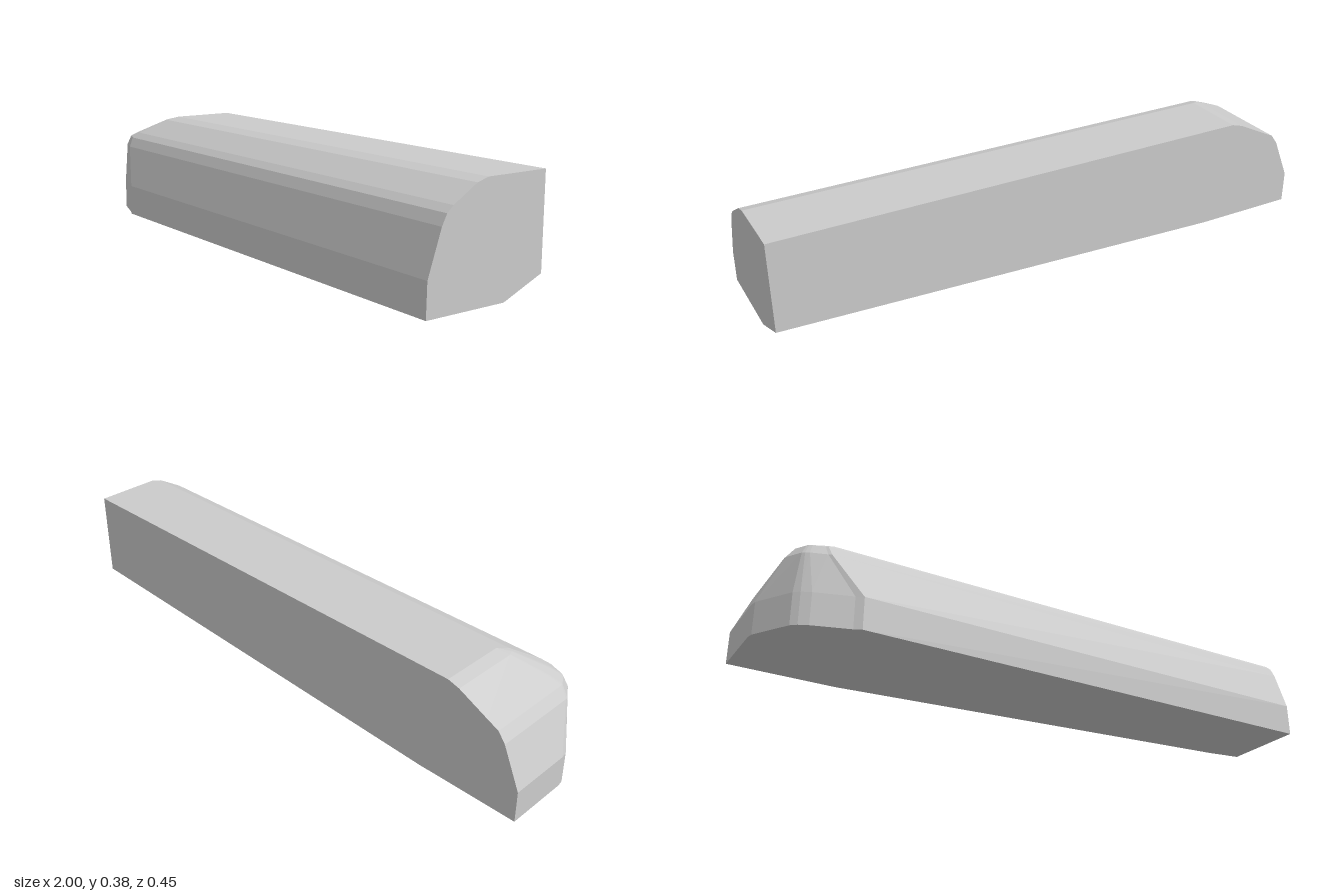
import * as THREE from 'three';

const BACK = -0.227, CX = -0.72, TOP = 0.375, CUT_Y = 0.063;

// Rounding profile: height, reach towards the end (-x), reach towards the front (+z),
// and how far the plan corner is squared off
const ROWS = [
  [0, 0.28, 0.228, 0], [0.112, 0.28, 0.226, 0], [0.255, 0.218, 0.178, 0.45], [0.29, 0.192, 0.16, 0.55],
  [0.31, 0.15, 0.137, 0.55], [0.363, 0.042, 0.048, 0.4], [TOP, 0, 0.005, 0],
];
// Corner in plan, as fractions of the two reaches
const CORNER = [[1, 0], [0.985, 0.1], [0.71, 0.63], [0.64, 0.7], [0.53, 0.765], [0.09, 0.945], [0, 1]];

export function createModel() {
  const group = new THREE.Group();
  const material = new THREE.MeshStandardMaterial({ color: 0xcccccc, flatShading: true });

  const addFaces = (name, faces) => {
    const pos = [];
    for (const f of faces) {
      for (let i = 1; i < f.length - 1; i++) pos.push(...f[0], ...f[i], ...f[i + 1]);
    }
    const geo = new THREE.BufferGeometry();
    geo.setAttribute('position', new THREE.Float32BufferAttribute(pos, 3));
    geo.computeVertexNormals();
    const mesh = new THREE.Mesh(geo, material);
    mesh.name = name;
    group.add(mesh);
  };

  // Outline at each height: back of the end wall, round the corner, along the front
  const lerp = THREE.MathUtils.lerp;
  const grid = ROWS.map(([y, ex, ez, square]) => [
    [CX - ex, y, BACK],
    ...CORNER.map(([cx, cz]) => [CX - ex * lerp(cx, 1, square), y, ez * lerp(cz, 1, square)]),
    [1, y, ez],
  ]);
  const last = grid[0].length - 1;

  // Rounded front, corner and end
  const skin = [];
  for (let j = 0; j < grid.length - 1; j++) {
    for (let k = 0; k < last; k++) {
      skin.push([grid[j][k], grid[j][k + 1], grid[j + 1][k + 1], grid[j + 1][k]]);
    }
  }
  addFaces('roundedFront', skin);

  // Corners of the sloping undercut and the top back edge
  const cutFront = [1, 0, -0.073], cutBack = [1, CUT_Y, BACK], cutTip = [-0.63, 0, BACK];
  const topBack = [1, TOP, BACK];

  addFaces('top', [[...grid[grid.length - 1], topBack]]);
  addFaces('backWall', [[...grid.map((r) => r[0]), topBack, cutBack, cutTip]]);
  addFaces('squareEnd', [[...grid.map((r) => r[last]), topBack, cutBack, cutFront].reverse()]);
  addFaces('base', [[...grid[0], cutFront, cutTip].reverse()]);
  addFaces('undercut', [[cutTip, cutBack, cutFront]]);

  return group;
}
